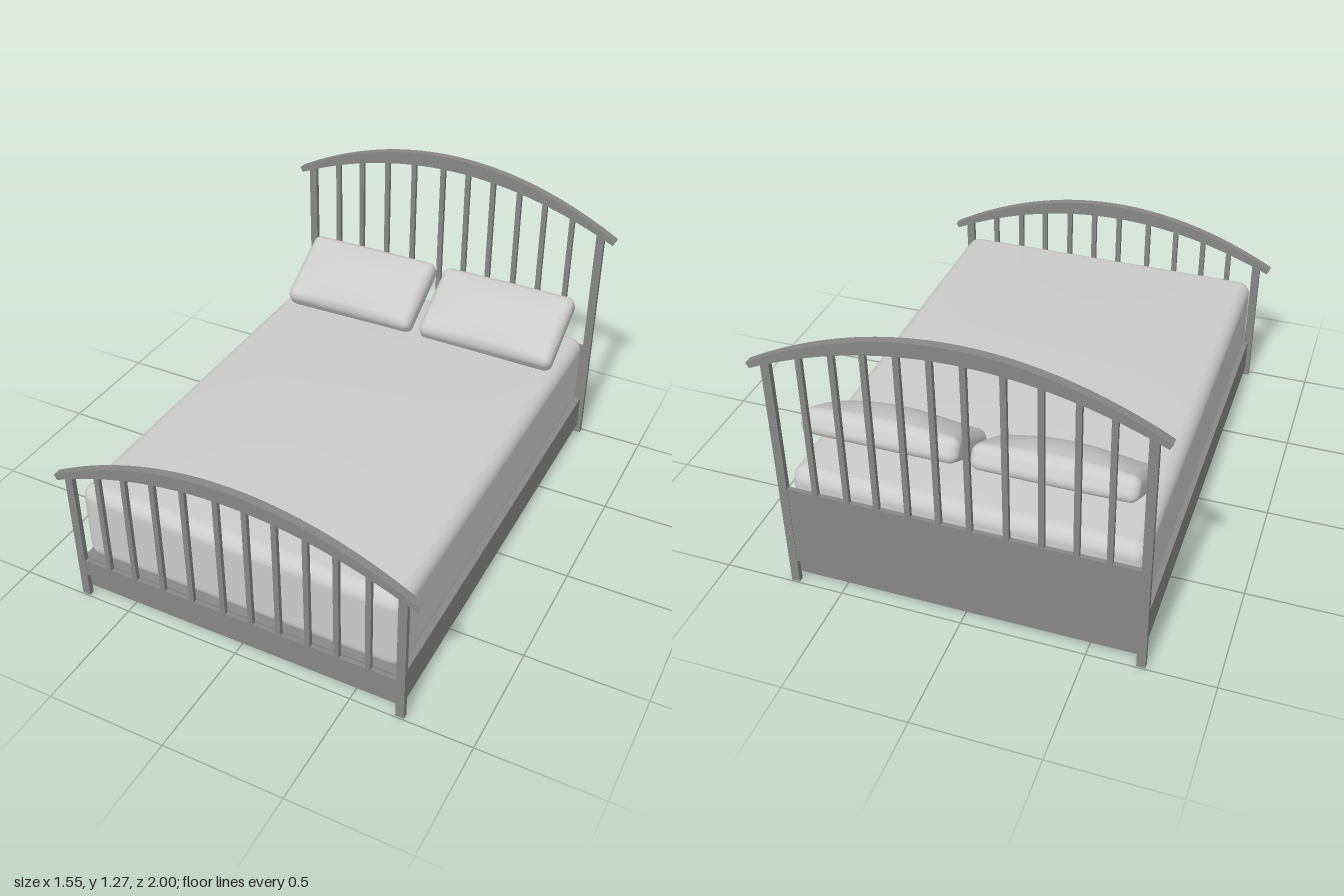
import * as THREE from 'three';
import { mergeVertices } from 'three/addons/utils/BufferGeometryUtils.js';

const fabric = new THREE.MeshStandardMaterial({ color: 0xcccccc });
const wood = new THREE.MeshStandardMaterial({ color: 0x878787 });

function box(name, w, h, d, x, y, z) {
  const mesh = new THREE.Mesh(new THREE.BoxGeometry(w, h, d), wood);
  mesh.name = name;
  mesh.position.set(x, y, z);
  return mesh;
}

// Rounded cushion: dense rows on the rounded rim, then bulged by puff(u, v) above and below
function cushion(name, w, h, d, r, puffTop, puffBottom) {
  const n = 24, rim = 6;
  let geo = new THREE.BoxGeometry(2, 2, 2, n, n, n);
  geo.deleteAttribute('normal');
  geo.deleteAttribute('uv');
  geo = mergeVertices(geo);
  const half = new THREE.Vector3(w / 2, h / 2, d / 2);
  const core = half.clone().subScalar(r);
  const inner = 1 - (2 * rim) / n;
  const spread = (t, c) => Math.abs(t) <= inner
    ? (t / inner) * c
    : Math.sign(t) * (c + r * Math.tan(((Math.abs(t) - inner) / (1 - inner)) * Math.PI / 4));
  const pos = geo.attributes.position;
  const p = new THREE.Vector3(), q = new THREE.Vector3();
  for (let i = 0; i < pos.count; i++) {
    p.fromBufferAttribute(pos, i);
    p.set(spread(p.x, core.x), spread(p.y, core.y), spread(p.z, core.z));
    q.copy(p).clamp(core.clone().negate(), core);
    p.sub(q).setLength(r).add(q);
    const dome = Math.max(0, 1 - (p.x / half.x) ** 2) * Math.max(0, 1 - (p.z / half.z) ** 2);
    p.y += dome * (p.y > 0 ? puffTop : -puffBottom) * Math.min(1, Math.abs(p.y) / core.y);
    pos.setXYZ(i, p.x, p.y, p.z);
  }
  geo.computeVertexNormals();
  const mesh = new THREE.Mesh(geo, fabric);
  mesh.name = name;
  return mesh;
}

// Rail edges: a shallow arch, slightly lower on the left
const outerArch = x => 1.267 - 0.358 * x * x - 0.013 * x;
const innerArch = x => 1.207 - 0.303 * x * x - 0.012 * x;

function endBoard(name, z, drop, panelTop) {
  const board = new THREE.Group();
  board.name = name;

  // Arched top rail, thinner towards its tips
  const pts = [], steps = 40;
  for (let i = 0; i <= steps; i++) {
    const x = -0.775 + (1.55 * i) / steps;
    pts.push(new THREE.Vector2(x, outerArch(x) - drop));
  }
  for (let i = steps; i >= 0; i--) {
    const x = -0.763 + (1.526 * i) / steps;
    pts.push(new THREE.Vector2(x, innerArch(x) - drop));
  }
  const depth = 0.034;
  const rail = new THREE.Mesh(
    new THREE.ExtrudeGeometry(new THREE.Shape(pts), { depth, bevelEnabled: false }), wood);
  rail.name = 'archedRail';
  rail.position.z = z - depth / 2;
  board.add(rail);

  // Corner posts
  for (const x of [-0.711, 0.703]) {
    const top = innerArch(x) - drop + 0.015;
    board.add(box('post', 0.035, top, 0.022, x, top / 2, z));
  }

  // Lower panel
  board.add(box('panel', 1.39, panelTop - 0.11, 0.018, -0.004, (panelTop + 0.11) / 2, z));

  // Spindles
  for (const x of [-0.577, -0.454, -0.323, -0.19, -0.048, 0.073, 0.194, 0.319, 0.44, 0.569]) {
    const top = innerArch(x) - drop + 0.015, bottom = panelTop - 0.01;
    board.add(box('spindle', 0.022, top - bottom, 0.018, x, (top + bottom) / 2, z));
  }
  return board;
}

export function createModel() {
  const bed = new THREE.Group();
  bed.name = 'bed';

  bed.add(endBoard('headboard', -0.983, 0, 0.475));
  bed.add(endBoard('footboard', 0.983, 0.46, 0.185));

  // Base between the end boards
  bed.add(box('bedBase', 1.412, 0.15, 1.946, -0.004, 0.115, 0));

  const mattress = cushion('mattress', 1.39, 0.35, 1.926, 0.055, 0.028, 0);
  mattress.position.set(-0.004, 0.365, 0.002);
  bed.add(mattress);

  // Pillows leaning back towards the headboard
  for (const x of [-0.333, 0.339]) {
    const pillow = cushion('pillow', 0.628, 0.096, 0.356, 0.035, 0.048, 0.008);
    pillow.position.set(x, 0.657, -0.746);
    pillow.rotation.x = 0.535;
    bed.add(pillow);
  }
  return bed;
}
